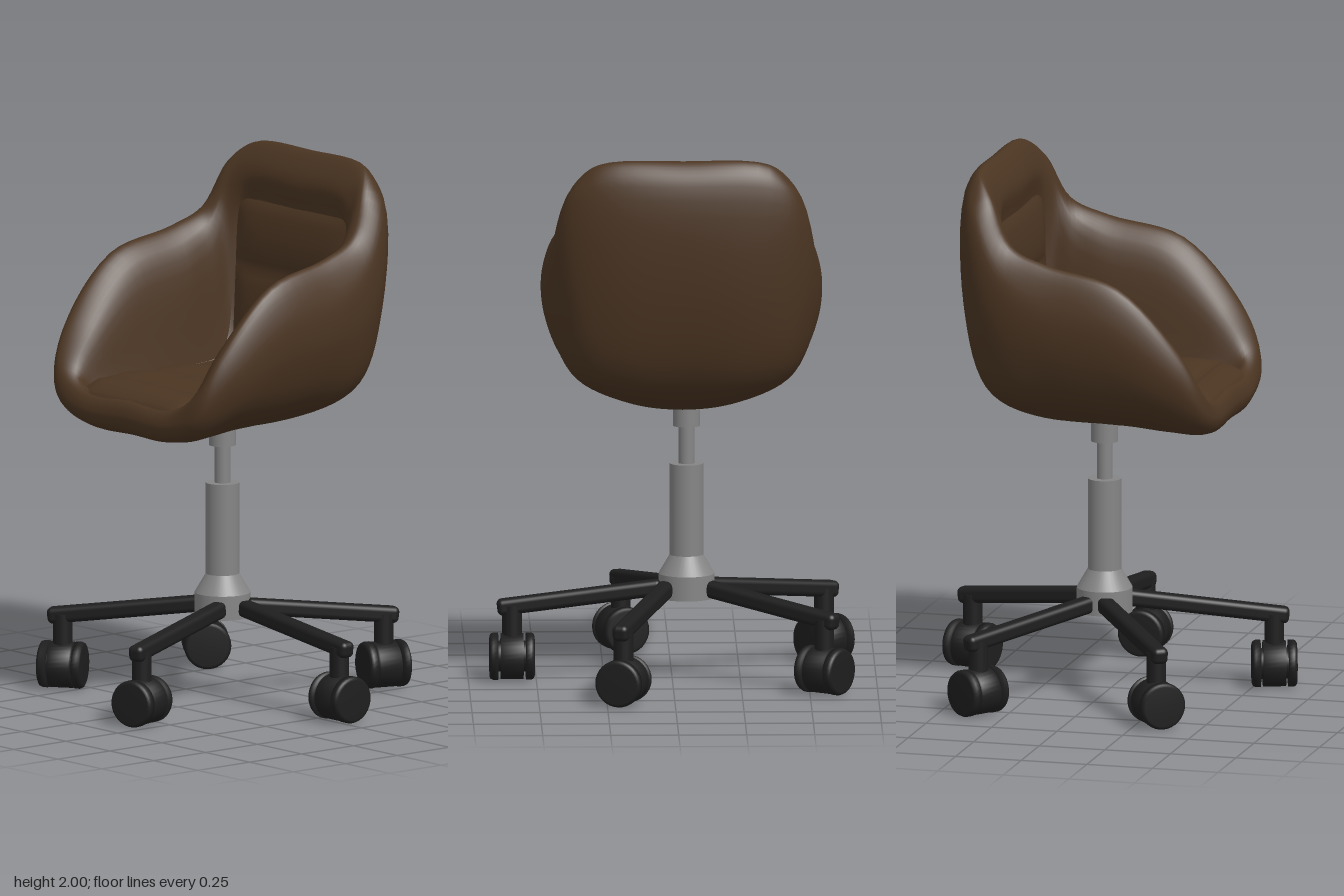
import * as THREE from 'three';
import { RoundedBoxGeometry } from 'three/addons/geometries/RoundedBoxGeometry.js';

const brown = new THREE.MeshStandardMaterial({ color: 0x4b3522, side: THREE.DoubleSide });
brown.name = 'brown upholstery';
const grey = new THREE.MeshStandardMaterial({ color: 0x858585 });
grey.name = 'grey metal';
const black = new THREE.MeshStandardMaterial({ color: 0x1e1e1e });
black.name = 'black plastic';

const SEAT_X = -0.035, HUB_X = -0.053, HUB_Z = -0.01;

function mesh(name, geometry, material) {
  const m = new THREE.Mesh(geometry, material);
  m.name = name;
  return m;
}

// Smooth surface from a grid of points; optionally closed around the columns
function gridGeometry(rows, closed) {
  const n = rows[0].length, pos = [], idx = [];
  rows.forEach(r => r.forEach(p => pos.push(p.x, p.y, p.z)));
  for (let j = 0; j < rows.length - 1; j++) {
    for (let i = 0; i < (closed ? n : n - 1); i++) {
      const k = (i + 1) % n;
      const a = j * n + i, b = j * n + k, c = a + n, d = b + n;
      idx.push(a, b, c, b, d, c);
    }
  }
  const g = new THREE.BufferGeometry();
  g.setAttribute('position', new THREE.Float32BufferAttribute(pos, 3));
  g.setIndex(idx);
  g.computeVertexNormals();
  return g;
}

// Half loops from front centre round the left side to back centre: [x, y, z]
const underside = [[0, 1.025, .17], [.08, 1.028, .165], [.15, 1.037, .145], [.205, 1.05, .09], [.22, 1.057, .02],
  [.22, 1.058, -.05], [.21, 1.058, -.13], [.175, 1.055, -.2], [.1, 1.05, -.235], [0, 1.048, -.245]];
const belly = [[0, 1.027, .33], [.14, 1.03, .33], [.27, 1.052, .3], [.375, 1.115, .21], [.41, 1.155, .06],
  [.41, 1.17, -.1], [.4, 1.172, -.25], [.345, 1.18, -.355], [.21, 1.175, -.4], [0, 1.175, -.405]];
const lowerWall = [[0, 1.05, .46], [.22, 1.05, .46], [.37, 1.085, .428], [.46, 1.2, .31], [.50, 1.33, .1],
  [.50, 1.37, -.12], [.475, 1.4, -.3], [.405, 1.46, -.42], [.26, 1.48, -.478], [0, 1.49, -.495]];
const upperWall = [[0, 1.105, .487], [.25, 1.105, .487], [.40, 1.15, .47], [.475, 1.3, .372], [.51, 1.5, .13],
  [.505, 1.55, -.12], [.487, 1.64, -.28], [.425, 1.865, -.408], [.315, 1.92, -.46], [0, 1.93, -.485]];
const rimCrest = [[0, 1.16, .467], [.25, 1.16, .467], [.39, 1.235, .462], [.438, 1.39, .384], [.455, 1.62, .16],
  [.44, 1.69, -.12], [.425, 1.75, -.26], [.388, 1.91, -.345], [.31, 1.986, -.405], [0, 2, -.415]];
const innerRoll = [[0, 1.17, .432], [.24, 1.17, .432], [.33, 1.22, .43], [.355, 1.375, .325], [.375, 1.56, .12],
  [.365, 1.62, -.12], [.365, 1.69, -.24], [.35, 1.82, -.31], [.27, 1.89, -.335], [0, 1.9, -.335]];
const crease = [[0, 1.14, .4], [.24, 1.14, .4], [.30, 1.16, .38], [.305, 1.18, .25], [.305, 1.19, .1],
  [.305, 1.19, -.1], [.305, 1.22, -.25], [.315, 1.5, -.32], [.28, 1.77, -.345], [0, 1.78, -.345]];

function loopCurve(half) {
  const mirrored = half.slice(1, -1).reverse().map(([x, y, z]) => [-x, y, z]);
  const pts = [...half, ...mirrored].map(p => new THREE.Vector3(...p));
  return new THREE.CatmullRomCurve3(pts, true);
}

// Padded tub: outer wall, rolled rim and inner wall in one skin
function buildShell() {
  const U = 108, V = 48;
  const loops = [underside, belly, lowerWall, upperWall, rimCrest, innerRoll, crease].map(loopCurve);
  const rows = Array.from({ length: V + 1 }, () => []);
  for (let i = 0; i < U; i++) {
    const rib = new THREE.CatmullRomCurve3(
      [new THREE.Vector3(0, 1.025, 0), ...loops.map(l => l.getPoint(i / U))]);
    for (let j = 0; j <= V; j++) rows[j].push(rib.getPoint(j / V));
  }
  return gridGeometry(rows, true);
}

// Channelled lining: seat pads running back, then up the backrest [z, y, half width]
function buildLining() {
  const seams = [[.462, 1.15, .3], [.34, 1.195, .31], [.11, 1.195, .31], [-.115, 1.19, .31],
    [-.3, 1.19, .305], [-.325, 1.54, .315], [-.345, 1.79, .335]];
  const rows = [], steps = 10;
  for (let s = 0; s < seams.length - 1; s++) {
    const [z0, y0, w0] = seams[s], [z1, y1, w1] = seams[s + 1];
    const len = Math.hypot(z1 - z0, y1 - y0);
    for (let k = s ? 1 : 0; k <= steps; k++) {
      const t = k / steps, puff = 0.023 * Math.sqrt(Math.abs(Math.sin(Math.PI * t)));
      const row = [];
      for (let i = 0; i <= 16; i++) {
        const w = i / 8 - 1, h = puff * (1 - w ** 8);
        row.push(new THREE.Vector3(w * (w0 + (w1 - w0) * t),
          y0 + (y1 - y0) * t - (z1 - z0) / len * h,
          z0 + (z1 - z0) * t + (y1 - y0) / len * h));
      }
      rows.push(row);
    }
  }
  return gridGeometry(rows, false);
}

// One base arm with its twin-wheel caster, pointing along +x from the hub
function buildLeg() {
  const g = new THREE.Group();
  g.name = 'baseLeg';
  const profile = [[0, -.083], [.074, -.083], [.083, -.079], [.087, -.07], [.087, -.051], [.057, -.051],
    [.057, -.042], [.085, -.042], [.085, .042], [.057, .042], [.057, .051], [.087, .051], [.087, .07],
    [.083, .079], [.074, .083], [0, .083]];
  // outer discs, core and middle housing
  [['casterWheel', 0, 6], ['casterAxle', 5, 7], ['casterHousing', 6, 10],
    ['casterAxle', 9, 11], ['casterWheel', 10, 16]].forEach(([name, a, b]) => {
    const pts = profile.slice(a, b).map(p => new THREE.Vector2(...p));
    const wheel = mesh(name, new THREE.LatheGeometry(pts, 32), black);
    wheel.rotation.z = -Math.PI / 2;
    wheel.position.y = 0.09;
    g.add(wheel);
  });
  const stem = mesh('casterStem', new THREE.CylinderGeometry(.036, .036, .12, 20), black);
  stem.position.y = 0.22;
  g.add(stem);

  const x0 = -0.55, x1 = 0.055, y0 = 0.347, y1 = 0.271;
  const bar = mesh('armBar', new RoundedBoxGeometry(Math.hypot(x1 - x0, y1 - y0), .061, .061, 4, .02), black);
  bar.position.set((x0 + x1) / 2, (y0 + y1) / 2, 0);
  bar.rotation.z = Math.atan2(y1 - y0, x1 - x0);
  g.add(bar);
  return g;
}

export function createModel() {
  const model = new THREE.Group();
  model.name = 'swivelChair';

  const seat = new THREE.Group();
  seat.name = 'seat';
  seat.position.x = SEAT_X;
  seat.add(mesh('seatShell', buildShell(), brown), mesh('seatLining', buildLining(), brown));
  model.add(seat);

  // Gas-lift column: [name, top radius, bottom radius, bottom y, top y]
  const column = new THREE.Group();
  column.name = 'column';
  column.position.set(HUB_X, 0, HUB_Z);
  [['hub', .103, .103, .305, .395], ['hubCone', .062, .103, .395, .465], ['outerTube', .062, .062, .465, .805],
    ['liftRod', .029, .029, .8, .95], ['seatCollar', .05, .05, .945, 1.06]].forEach(([name, rt, rb, y0, y1]) => {
    const part = mesh(name, new THREE.CylinderGeometry(rt, rb, y1 - y0, 36), grey);
    part.position.y = (y0 + y1) / 2;
    column.add(part);
  });
  model.add(column);

  // Five legs placed by caster centre: [x, z, direction in degrees]
  [[.589, -.03, 0], [.19, -.58, 72], [-.553, -.355, 144], [-.565, .327, 216], [.178, .573, 288]]
    .forEach(([x, z, deg]) => {
      const leg = buildLeg();
      leg.position.set(x, 0, z);
      leg.rotation.y = THREE.MathUtils.degToRad(deg);
      model.add(leg);
    });

  return model;
}
